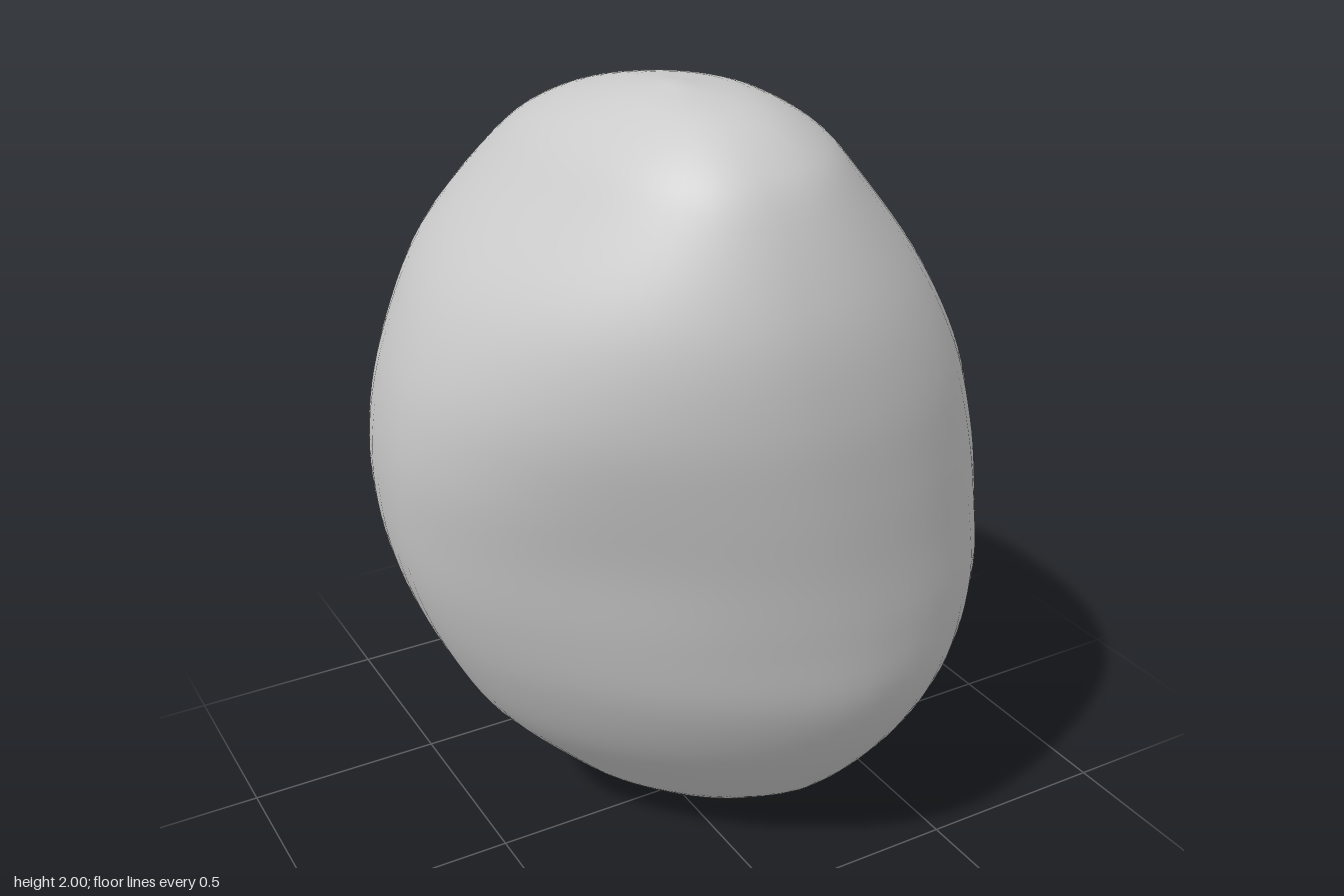
import * as THREE from 'three';
import { mergeVertices } from 'three/addons/utils/BufferGeometryUtils.js';

// Height, x range, z range of each level of the boulder
const LEVELS = [
  [0, 0.05, 0.05, -0.05, -0.05],
  [0.02, -0.06, 0.19, -0.22, 0.13],
  [0.1, -0.19, 0.36, -0.36, 0.28],
  [0.2, -0.3, 0.48, -0.46, 0.4],
  [0.4, -0.49, 0.61, -0.63, 0.56],
  [0.6, -0.61, 0.69, -0.735, 0.665],
  [0.8, -0.69, 0.735, -0.77, 0.705],
  [1.0, -0.73, 0.71, -0.76, 0.73],
  [1.2, -0.74, 0.655, -0.69, 0.755],
  [1.4, -0.71, 0.57, -0.61, 0.77],
  [1.6, -0.63, 0.44, -0.53, 0.755],
  [1.8, -0.48, 0.26, -0.36, 0.69],
  [1.9, -0.39, 0.15, -0.18, 0.62],
  [1.97, -0.28, 0.0, 0.08, 0.5],
  [2, -0.17, -0.17, 0.3, 0.3],
];

// Where along the range the outermost point of each side lies, at the bottom and at the top
const EXTREME = { left: [0.4, 0.4], right: [0.53, 0.53], front: [0.63, 0.42], back: [0.5, 0.5] };

// Fullness of each quarter, at the bottom and at the top
const FULLNESS = {
  frontLeft: [2.35, 2.2], backLeft: [2.6, 1.75],
  frontRight: [1.45, 2.2], backRight: [2.15, 1.85],
};

// Shallow hollows: centre, radius, depth
const HOLLOWS = [
  [-0.42, 1.1, 0.5, 0.26, 0.02],
  [0.4, 1.6, 0, 0.28, 0.01],
  [0.35, 0.45, -0.5, 0.24, 0.015],
  [0.7, 0.75, 0.15, 0.28, 0.03],
];

function boulderGeometry(rings, sides) {
  const curve = (a, b) => new THREE.CatmullRomCurve3(
    LEVELS.map(l => new THREE.Vector3(l[a], l[0], l[b])), false, 'catmullrom', 0.5);
  const xRange = curve(1, 2), zRange = curve(3, 4);
  const { lerp } = THREE.MathUtils;
  const positions = [], index = [];
  const p = new THREE.Vector3(), c = new THREE.Vector3();

  for (let i = 0; i <= rings; i++) {
    const X = xRange.getPoint(i / rings), Z = zRange.getPoint(i / rings);
    const h = X.y / 2;
    for (let j = 0; j < sides; j++) {
      const a = j / sides * Math.PI * 2;
      const u = Math.cos(a), v = Math.sin(a);
      const side = u > 0 ? 'left' : 'right', end = v > 0 ? 'front' : 'back';
      const power = lerp(...FULLNESS[end + (u > 0 ? 'Left' : 'Right')], h * h);
      const r = Math.pow(Math.abs(u) ** power + Math.abs(v) ** power, -1 / power);
      // Each quarter runs between the outermost points of its two sides
      const x0 = lerp(X.x, X.z, lerp(...EXTREME[end], h));
      const z0 = lerp(Z.x, Z.z, lerp(...EXTREME[side], h));
      p.set(
        lerp(x0, u > 0 ? X.z : X.x, Math.abs(u) * r), X.y,
        lerp(z0, v > 0 ? Z.z : Z.x, Math.abs(v) * r));
      for (const [hx, hy, hz, radius, depth] of HOLLOWS) {
        const d = p.distanceTo(c.set(hx, hy, hz)) / radius;
        const push = depth * Math.exp(-d * d);
        p.x -= u * push;
        p.z -= v * push;
      }
      // The first and last rings close to a point
      if (i === 0 || i === rings) p.set(X.x, X.y, Z.x);
      positions.push(p.x, p.y, p.z);
      if (i < rings) {
        const k = (j + 1) % sides, lo = i * sides, hi = lo + sides;
        index.push(lo + j, hi + j, hi + k, lo + j, hi + k, lo + k);
      }
    }
  }
  let g = new THREE.BufferGeometry();
  g.setAttribute('position', new THREE.Float32BufferAttribute(positions, 3));
  g.setIndex(index);
  g = mergeVertices(g, 1e-6);
  g.computeVertexNormals();
  return g;
}

export function createModel() {
  const group = new THREE.Group();
  group.name = 'rock';
  const boulder = new THREE.Mesh(
    boulderGeometry(70, 72),
    new THREE.MeshStandardMaterial({ color: 0xcccccc }));
  boulder.name = 'boulder';
  group.add(boulder);
  return group;
}
